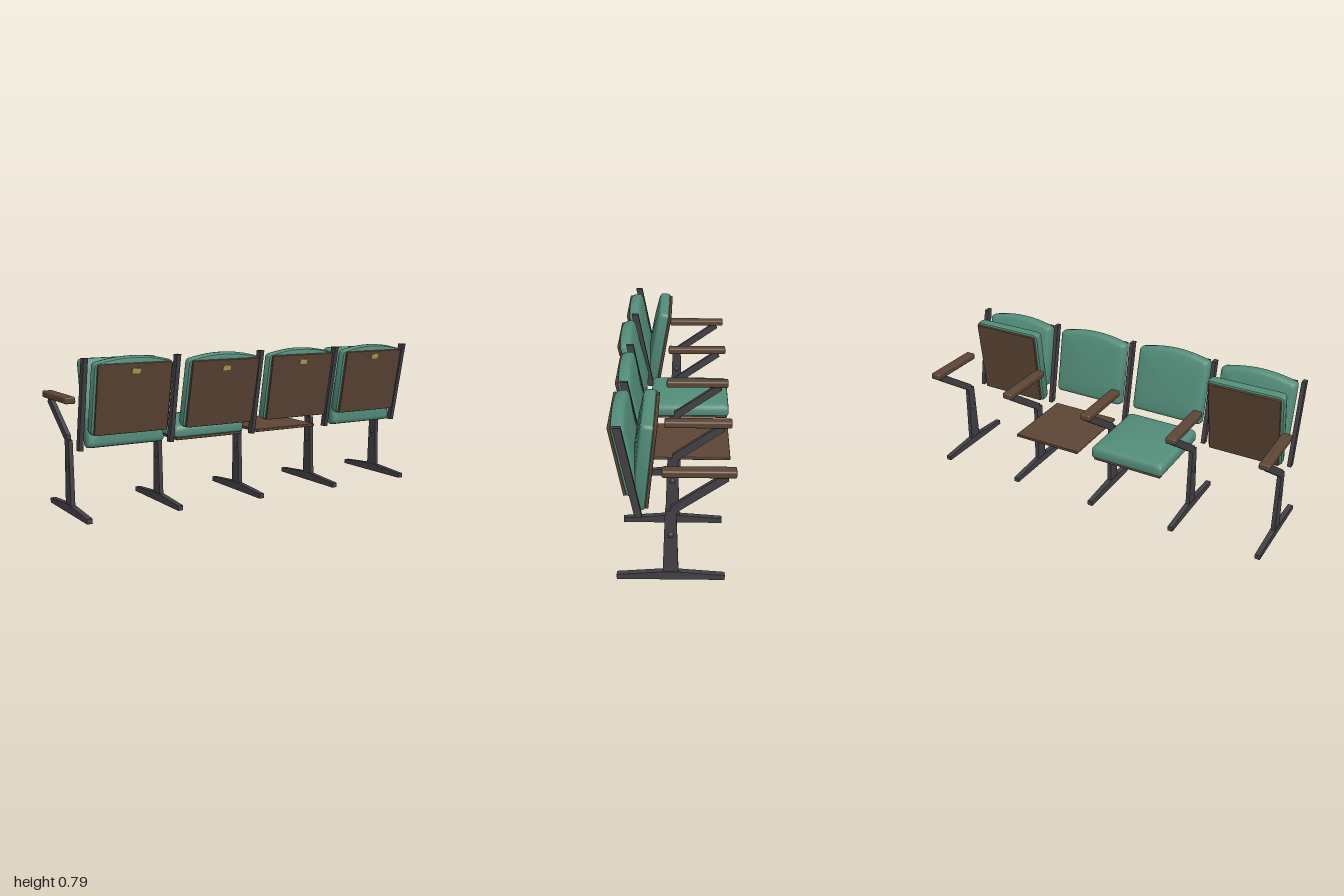
import * as THREE from 'three';
import { toCreasedNormals } from 'three/addons/utils/BufferGeometryUtils.js';
import { RoundedBoxGeometry } from 'three/addons/geometries/RoundedBoxGeometry.js';

const material = (name, color) => {
  const m = new THREE.MeshStandardMaterial({ color });
  m.name = name;
  return m;
};

export function createModel() {
  const fabric = material('green fabric', 0x538d79);
  const wood = material('brown wood', 0x5c4535);
  const metal = material('dark metal', 0x424045);
  const brass = material('brass', 0xb59d58);

  const model = new THREE.Group();
  model.name = 'seatRow';

  const add = (parent, name, geometry, mat, x = 0, y = 0, z = 0) => {
    const mesh = new THREE.Mesh(geometry, mat);
    mesh.name = name;
    mesh.position.set(x, y, z);
    parent.add(mesh);
    return mesh;
  };

  // Side profile given as [z, y] points, extruded across x
  const profile = (points, width) => {
    const shape = new THREE.Shape(points.map(p => new THREE.Vector2(p[0], p[1])));
    const g = new THREE.ExtrudeGeometry(shape, { depth: width, bevelEnabled: false });
    g.translate(0, 0, -width / 2);
    g.rotateY(-Math.PI / 2);
    return g;
  };

  // Padded cushion: a rounded outline lofted along +z and closed by a shallow dome
  const cushion = (width, bottom, shoulder, crown, depth, dome) => {
    const hw = width / 2, r = 0.02, outline = [];
    const corner = (x, y, start) => {
      for (let i = 0; i <= 4; i++) {
        const a = start + i * Math.PI / 8;
        outline.push([x + r * Math.cos(a), y + r * Math.sin(a)]);
      }
    };
    corner(-hw + r, bottom + r, Math.PI);
    corner(hw - r, bottom + r, Math.PI * 1.5);
    corner(hw - r, shoulder - r, 0);
    for (let i = 1; i < 12; i++) {
      const t = 1 - i / 6;
      outline.push([t * (hw - r), shoulder + (crown - shoulder) * (1 - t * t)]);
    }
    corner(-hw + r, shoulder - r, Math.PI / 2);

    const cy = (bottom + shoulder) / 2, hh = (shoulder - bottom) / 2;
    const rings = [[0.008, 0], [0.002, 0.004], [0, 0.012], [0, depth * 0.55],
      [0.003, depth * 0.8], [0.01, depth * 0.94], [0.022, depth]];
    for (const s of [0.75, 0.5, 0.25]) {
      rings.push([0.022 + (hw - 0.022) * (1 - s), depth + dome * (1 - s * s)]);
    }
    const pos = [], index = [], n = outline.length;
    for (const [inset, z] of rings) {
      const sx = (hw - inset) / hw, sy = inset < 0.03 ? (hh - inset) / hh : sx;
      for (const [x, y] of outline) pos.push(x * sx, cy + (y - cy) * sy, z);
    }
    const base = rings.length * n, last = base - n;
    pos.push(0, cy, 0, 0, cy, depth + dome);
    for (let i = 0; i < n; i++) {
      const j = (i + 1) % n;
      for (let k = 0; k < rings.length - 1; k++) {
        const a = k * n, b = a + n;
        index.push(a + i, a + j, b + j, a + i, b + j, b + i);
      }
      index.push(base, j, i, base + 1, last + i, last + j);
    }
    const g = new THREE.BufferGeometry();
    g.setAttribute('position', new THREE.Float32BufferAttribute(pos, 3));
    g.setIndex(index);
    return toCreasedNormals(g, 0.7);
  };

  // Stands with foot, column, arm support, back rail, bolt and armrest
  const footGeo = profile([[0.248, 0], [0.248, 0.025], [0.034, 0.042], [-0.04, 0.042],
    [-0.255, 0.025], [-0.255, 0]].reverse(), 0.028);
  const columnGeo = profile([[0.034, 0.03], [-0.04, 0.03], [-0.029, 0.37], [0.022, 0.37]].reverse(), 0.022);
  const supportGeo = profile([[-0.002, 0.34], [-0.002, 0.392], [-0.228, 0.552], [-0.248, 0.552],
    [-0.262, 0.528], [-0.03, 0.364], [-0.03, 0.34]].reverse(), 0.022);
  const railGeo = profile([[0.125, 0.336], [0.159, 0.336], [0.25, 0.785], [0.212, 0.785]], 0.022);
  const boltGeo = new THREE.SphereGeometry(0.018, 16, 10);
  const armGeo = new RoundedBoxGeometry(0.055, 0.035, 0.333, 3, 0.009);
  for (let i = -2; i <= 2; i++) {
    const stand = new THREE.Group();
    stand.name = 'stand';
    stand.position.x = i * 0.485;
    add(stand, 'foot', footGeo, metal);
    add(stand, 'column', columnGeo, metal);
    add(stand, 'armSupport', supportGeo, metal);
    add(stand, 'backRail', railGeo, metal);
    add(stand, 'bolt', boltGeo, metal, 0, 0.243, -0.003);
    add(stand, 'armrest', armGeo, wood, 0, 0.566, -0.13);
    model.add(stand);
  }

  // Seat parts: the seat extends along -z from its hinge, the back rises along +y
  const seatCushionGeo = cushion(0.41, -0.01, 0.425, 0.425, 0.064, 0.016);
  seatCushionGeo.rotateX(-Math.PI / 2);
  const backCushionGeo = cushion(0.41, -0.005, 0.352, 0.376, 0.062, 0.012);
  backCushionGeo.rotateY(Math.PI);
  const seatPanelGeo = new RoundedBoxGeometry(0.385, 0.016, 0.415, 2, 0.004);
  const backPanelGeo = new RoundedBoxGeometry(0.385, 0.35, 0.016, 2, 0.004);
  const plaqueGeo = new THREE.BoxGeometry(0.044, 0.024, 0.006);

  // Tilts in degrees; hinge as [y, z]; one seat is missing its cushion
  const seats = [
    { x: -0.73, back: 11.5, backZ: 0.214, fold: 80.3, hinge: [0.345, 0.09], plaque: 0.314, padded: true },
    { x: -0.243, back: 13.5, backZ: 0.222, fold: 0, hinge: [0.333, 0.12], plaque: 0.308, padded: true },
    { x: 0.243, back: 10.8, backZ: 0.213, fold: 0, hinge: [0.333, 0.12], plaque: 0.312, padded: false },
    { x: 0.73, back: 10.8, backZ: 0.212, fold: 83.7, hinge: [0.345, 0.1], plaque: 0.32, padded: true },
  ];
  for (const s of seats) {
    const back = new THREE.Group();
    back.name = 'backrest';
    back.position.set(s.x, 0.412, s.backZ);
    back.rotation.x = THREE.MathUtils.degToRad(s.back);
    add(back, 'backPanel', backPanelGeo, wood, 0, 0.175, -0.008);
    add(back, 'backCushion', backCushionGeo, fabric, 0, 0, -0.014);
    add(back, 'plaque', plaqueGeo, brass, 0, s.plaque, 0.002);
    model.add(back);

    const seat = new THREE.Group();
    seat.name = 'seat';
    seat.position.set(s.x, ...s.hinge);
    seat.rotation.x = THREE.MathUtils.degToRad(s.fold);
    add(seat, 'seatPanel', seatPanelGeo, wood, 0, 0.008, -0.2075);
    if (s.padded) add(seat, 'seatCushion', seatCushionGeo, fabric, 0, 0.015, 0);
    model.add(seat);
  }
  return model;
}
